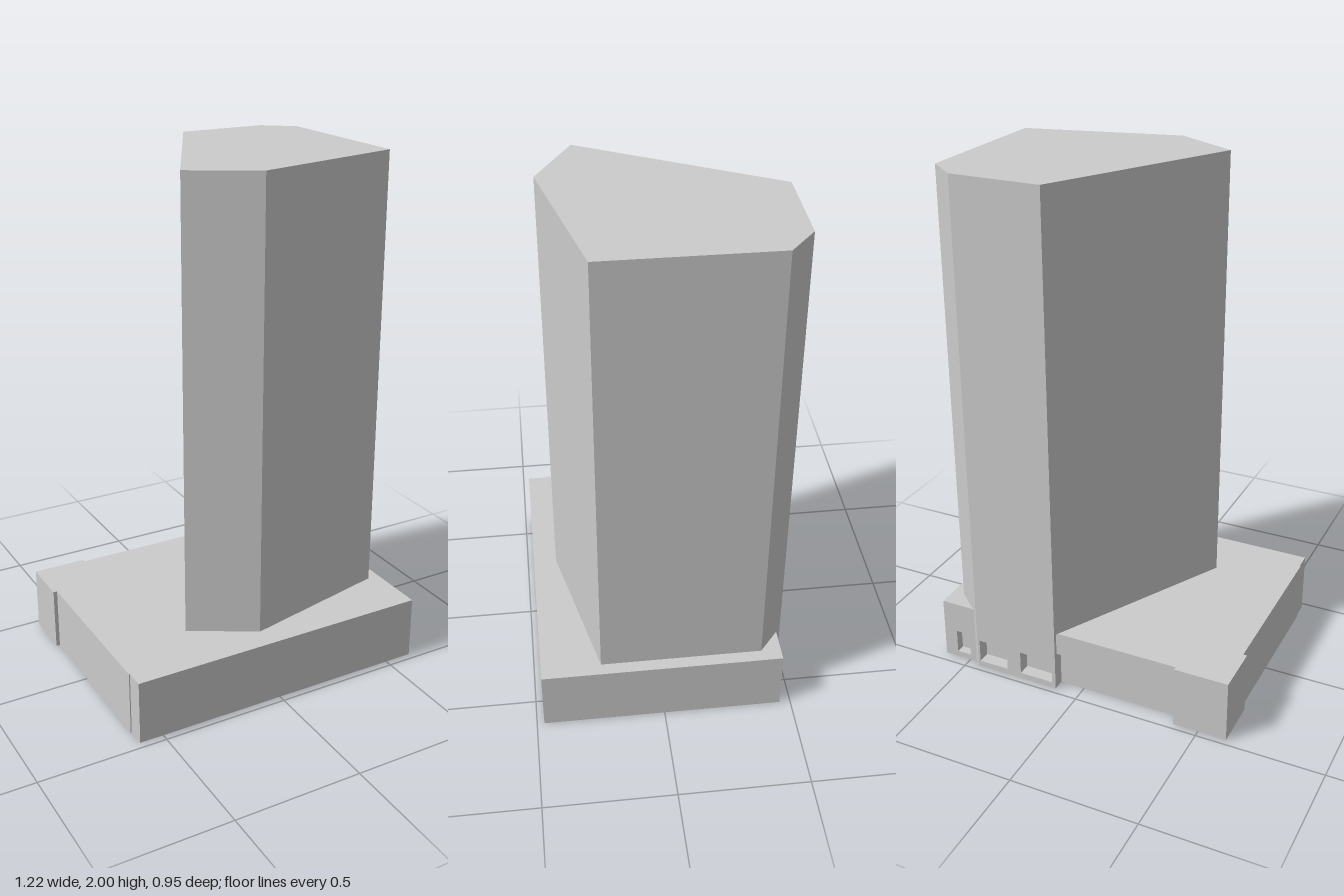
import * as THREE from 'three';

const material = new THREE.MeshStandardMaterial({
  color: 0xcccccc, flatShading: true, side: THREE.DoubleSide,
});

function addMesh(parent, name, geometry) {
  const mesh = new THREE.Mesh(geometry, material);
  mesh.name = name;
  parent.add(mesh);
  return mesh;
}

// Rectangle outline used for wall panels and their openings
const rect = (Type, x0, x1, y0, y1) => new Type([
  new THREE.Vector2(x0, y0), new THREE.Vector2(x1, y0),
  new THREE.Vector2(x1, y1), new THREE.Vector2(x0, y1),
]);

// Inside of a shallow box without its front face (and without its sill when it reaches the ground)
function recessGeometry({ x0, x1, y0, y1, depth }) {
  const geometry = new THREE.BoxGeometry(x1 - x0, y1 - y0, depth);
  const index = Array.from(geometry.index.array);
  const floor = y0 > 0 ? index.slice(18, 24) : [];
  geometry.setIndex([...index.slice(0, 18), ...floor, ...index.slice(30)]);
  geometry.clearGroups();
  return geometry.translate((x0 + x1) / 2, (y0 + y1) / 2, -depth / 2);
}

// Upright panel from plan point a to plan point b, with optional recesses
function addWall(parent, a, b, height, recesses = []) {
  const dx = b[0] - a[0], dz = b[1] - a[1];
  const wall = new THREE.Group();
  wall.name = 'wall';
  wall.position.set(a[0], 0, a[1]);
  wall.rotation.y = Math.atan2(-dz, dx);
  parent.add(wall);

  const overhang = recesses.find((r) => r.y0 === 0);
  const panel = rect(THREE.Shape, 0, Math.hypot(dx, dz), overhang ? overhang.y1 : 0, height);
  for (const r of recesses) {
    if (r !== overhang) panel.holes.push(rect(THREE.Path, r.x0, r.x1, r.y0, r.y1));
    addMesh(wall, r.name, recessGeometry(r));
  }
  addMesh(wall, 'wallPanel', new THREE.ShapeGeometry(panel));
}

// Open-bottomed block: a wall along each side of the plan and a flat roof
function makeBlock(name, plan, y, height, recessesBySide = {}) {
  const block = new THREE.Group();
  block.name = name;
  block.position.y = y;
  plan.forEach((a, i) => addWall(block, a, plan[(i + 1) % plan.length], height, recessesBySide[i]));
  const outline = new THREE.Shape(plan.map(([x, z]) => new THREE.Vector2(x, -z)));
  addMesh(block, name + 'Roof', new THREE.ShapeGeometry(outline).rotateX(-Math.PI / 2).translate(0, height, 0));
  return block;
}

export function createModel() {
  const model = new THREE.Group();
  model.name = 'towerBuilding';
  const podiumHeight = 0.25;

  // Plans run [x, z], starting at the front and going round past +x
  const podiumPlan = [
    [-0.593, 0.472], [0.612, 0.472], [0.612, -0.457], [0.47, -0.457],
    [0.45, -0.475], [0.1, -0.475], [0.1, -0.46], [-0.4, -0.46],
    [-0.4, -0.475], [-0.612, -0.475], [-0.612, -0.28], [-0.597, -0.28],
    [-0.597, 0.4], [-0.593, 0.4],
  ];
  const towerPlan = [
    [-0.283, 0.238], [-0.038, 0.38], [0.563, 0.242],
    [0.563, -0.38], [0.45, -0.475], [0.1, -0.475],
  ];

  // Rear openings: small window, two wide windows, long ground-level recess
  const window = (x0, x1, depth) => ({ name: 'windowRecess', x0, x1, y0: 0.025, y1: 0.122, depth });
  const rearRecesses = {
    2: [window(0.055, 0.115, 0.035)],
    4: [window(0.01, 0.135, 0.05), window(0.195, 0.335, 0.05)],
    6: [{ name: 'groundRecess', x0: 0, x1: 0.5, y0: 0, y1: 0.155, depth: 0.033 }],
  };

  model.add(makeBlock('podium', podiumPlan, 0, podiumHeight, rearRecesses));
  model.add(makeBlock('tower', towerPlan, podiumHeight, 2 - podiumHeight));
  return model;
}
